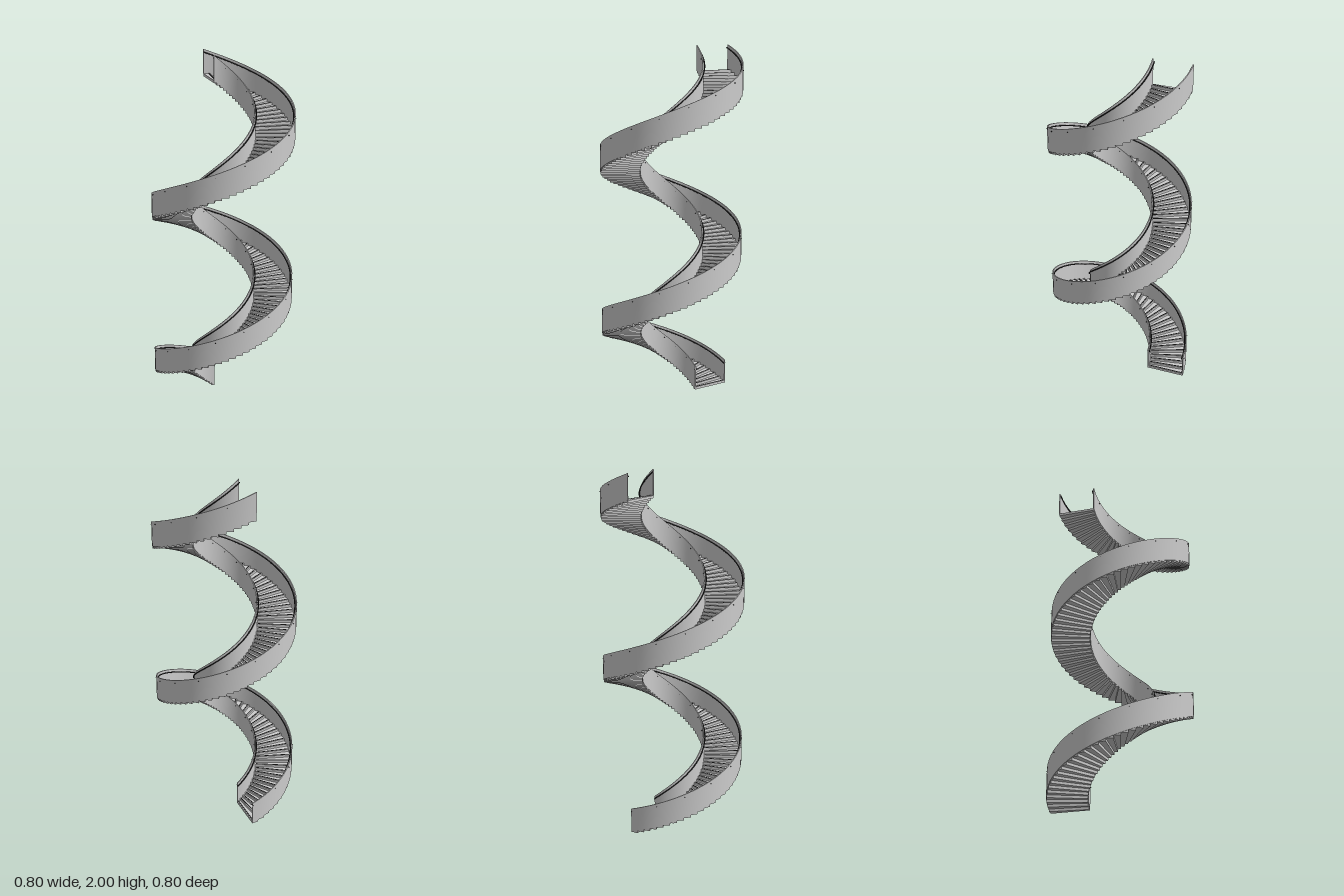
import * as THREE from 'three';
import { toCreasedNormals } from 'three/addons/utils/BufferGeometryUtils.js';

const TURNS = 2, PER_TURN = 64, STEPS = TURNS * PER_TURN;
const PANEL_H = 0.14, CLIMB = 2 - PANEL_H, RISE = CLIMB / STEPS;
const STEP_ANGLE = (Math.PI * 2) / PER_TURN;
const R_IN = 0.172, R_OUT = 0.395, PANEL_T = 0.006;
const RAIL_Y = 0.123;

const grey = new THREE.MeshStandardMaterial({ color: 0xcccccc });
const dark = new THREE.MeshStandardMaterial({ color: 0x222222 });

// Sweeps a closed counter-clockwise section of [radius, height] points round
// the y axis, lifting it by `climb` on the way; both ends are capped.
function sweep(section, angle, climb, segments) {
  const n = section.length, pos = [], index = [];
  for (let i = 0; i <= segments; i++) {
    const t = i / segments, a = t * angle;
    for (const [r, y] of section) pos.push(-r * Math.sin(a), y + t * climb, -r * Math.cos(a));
  }
  for (let i = 0; i < segments; i++) {
    for (let j = 0; j < n; j++) {
      const k = (j + 1) % n;
      const A = i * n + j, B = A + n, C = (i + 1) * n + k, D = i * n + k;
      index.push(A, B, C, A, C, D);
    }
  }
  const end = segments * n;
  for (let j = 1; j < n - 1; j++) {
    index.push(0, j, j + 1, end, end + j + 1, end + j);
  }
  const g = new THREE.BufferGeometry();
  g.setAttribute('position', new THREE.Float32BufferAttribute(pos, 3));
  g.setIndex(index);
  return toCreasedNormals(g, 0.9);
}

const rect = (r0, r1, y0, y1) => [[r0, y0], [r1, y0], [r1, y1], [r0, y1]];

const circle = (r, y, radius, sides = 8) =>
  Array.from({ length: sides }, (_, i) => {
    const a = (i / sides) * Math.PI * 2;
    return [r + radius * Math.cos(a), y + radius * Math.sin(a)];
  });

export function createModel() {
  const model = new THREE.Group();
  model.name = 'spiralStaircase';
  const stair = new THREE.Group();
  stair.name = 'stair';
  stair.rotation.y = -Math.PI / 8;
  model.add(stair);

  const add = (parent, name, geometry, material) => {
    const mesh = new THREE.Mesh(geometry, material);
    mesh.name = name;
    parent.add(mesh);
    return mesh;
  };

  // Wedge steps, each with a dark anti-slip strip behind its front edge
  const stepGeo = sweep(rect(R_IN + 0.003, R_OUT - 0.003, 0, RISE), STEP_ANGLE, 0, 2);
  const stripLength = R_OUT - R_IN - 0.02;
  const stripGeo = new THREE.BoxGeometry(0.006, 0.002, stripLength);
  for (let i = 0; i < STEPS; i++) {
    const step = new THREE.Group();
    step.name = 'step';
    step.rotation.y = i * STEP_ANGLE;
    step.position.y = i * RISE;
    add(step, 'tread', stepGeo, grey);
    add(step, 'antiSlipStrip', stripGeo, dark)
      .position.set(-0.007, RISE + 0.0005, -(R_IN + R_OUT) / 2);
    stair.add(step);
  }

  // Solid balustrades, handrails and rail brackets on both sides
  const total = TURNS * Math.PI * 2;
  const bracketGeo = new THREE.CylinderGeometry(0.0018, 0.0018, 0.018, 6).rotateX(Math.PI / 2);
  const sides = [
    { name: 'inner', r0: R_IN, rail: R_IN + 0.011, bracket: R_IN + 0.004 },
    { name: 'outer', r0: R_OUT - PANEL_T, rail: R_OUT - 0.011, bracket: R_OUT - 0.004 },
  ];
  for (const { name, r0, rail, bracket } of sides) {
    add(stair, name + 'Balustrade',
      sweep(rect(r0, r0 + PANEL_T, 0, PANEL_H), total, CLIMB, STEPS), grey);
    add(stair, name + 'Handrail',
      sweep(circle(rail, RAIL_Y, 0.0035), total, CLIMB, STEPS * 2), dark);
    for (let i = 0; i < STEPS; i += 4) {
      const t = i + 0.1;
      const holder = new THREE.Group();
      holder.name = name + 'RailBracket';
      holder.rotation.y = t * STEP_ANGLE;
      add(holder, 'bracketPin', bracketGeo, dark)
        .position.set(0, t * RISE + RAIL_Y, -bracket);
      stair.add(holder);
    }
  }
  return model;
}
